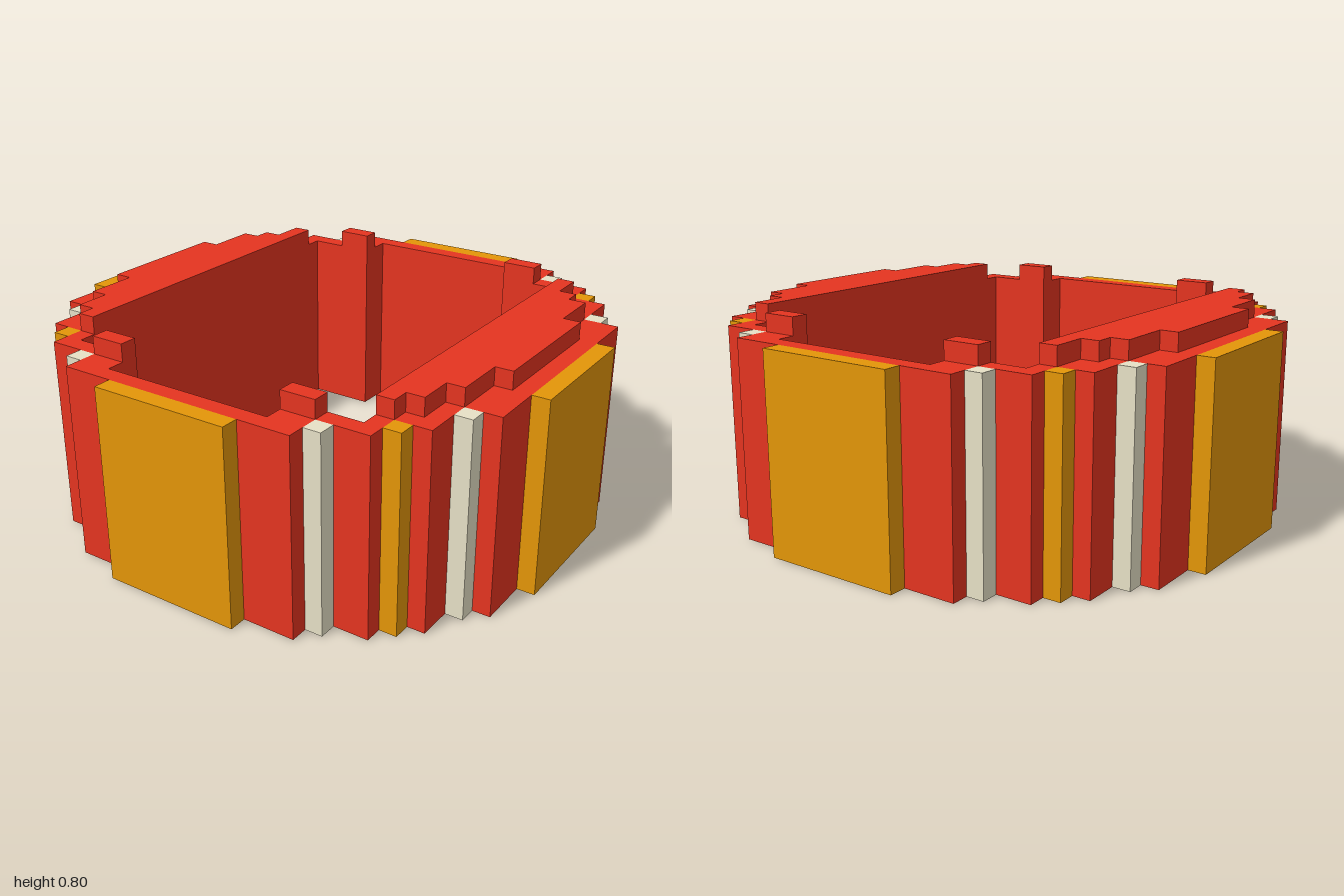
import * as THREE from 'three';

const U = 1 / 15; // one grid cell
const BODY_H = 11;

const red = new THREE.MeshStandardMaterial({ color: 0xe53420 });
red.name = 'red';
const gold = new THREE.MeshStandardMaterial({ color: 0xe49608 });
gold.name = 'gold';
const ivory = new THREE.MeshStandardMaterial({ color: 0xe7e1c6 });
ivory.name = 'ivory';

// Turns [x, z] grid points into plan-view points (shape y is -z)
const plan = (pts) => pts.map(([x, z]) => new THREE.Vector2(x * U, -z * U));

// Mirrors one quarter outline into a closed loop
function fourfold(q) {
  const r = [...q].reverse();
  return [
    ...q,
    ...r.map(([x, z]) => [-x, z]),
    ...q.map(([x, z]) => [-x, -z]),
    ...r.map(([x, z]) => [x, -z]),
  ];
}

// Upright prism from a plan outline; a hole winds opposite to the outline
function prism(name, outline, y, height, material, hole) {
  const shape = new THREE.Shape(plan(outline));
  if (hole) shape.holes.push(new THREE.Path(plan(hole).reverse()));
  const geo = new THREE.ExtrudeGeometry(shape, { depth: height * U, bevelEnabled: false });
  geo.rotateX(-Math.PI / 2);
  geo.translate(0, y * U, 0);
  const mesh = new THREE.Mesh(geo, material);
  mesh.name = name;
  return mesh;
}

// Box spanning grid ranges in x and z
function block(name, x0, x1, z0, z1, y, height, material) {
  const geo = new THREE.BoxGeometry((x1 - x0) * U, height * U, (z1 - z0) * U);
  const mesh = new THREE.Mesh(geo, material);
  mesh.position.set(((x0 + x1) / 2) * U, (y + height / 2) * U, ((z0 + z1) / 2) * U);
  mesh.name = name;
  return mesh;
}

export function createModel() {
  const model = new THREE.Group();
  model.name = 'steppedRing';

  // Stepped red wall around an open centre
  const outer = fourfold([[14, 7], [12, 7], [12, 10], [10, 10], [10, 12], [7, 12], [7, 14]]);
  const inner = fourfold([[9, 11], [5, 11], [5, 13]]);
  model.add(prism('ringWall', outer, 0, BODY_H, red, inner));

  for (const s of [1, -1]) {
    const side = s > 0 ? 'left' : 'right';

    // Raised rim on each side
    const rim = [
      [9, -10], [10, -10], [10, -8], [11, -8], [11, -7], [12, -7], [12, -4], [13, -4],
      [13, 4], [12, 4], [12, 7], [11, 7], [11, 9], [10, 9], [10, 10], [9, 10],
    ].map(([x, z]) => [s * x, z]);
    model.add(prism(`${side}Rim`, rim, BODY_H, 1, red));

    // Broad gold panels on the four sides
    model.add(block(`${side}Panel`, s * 14.5 - 0.5, s * 14.5 + 0.5, -4, 4, 0, BODY_H, gold));
    model.add(block(s > 0 ? 'frontPanel' : 'backPanel', -4, 4, s * 14.5 - 0.5, s * 14.5 + 0.5, 0, BODY_H, gold));

    // Corner strips and raised tabs
    for (const t of [1, -1]) {
      const corner = side + (t > 0 ? 'Front' : 'Back');
      const strip = (name, cx, cz, mat) => model.add(
        block(corner + name, s * cx - 0.5, s * cx + 0.5, t * cz - 0.5, t * cz + 0.5, 0, BODY_H, mat));
      strip('OuterStrip', 12.5, 7.5, ivory);
      strip('CornerStrip', 10.5, 10.5, gold);
      strip('InnerStrip', 7.5, 12.5, ivory);
      model.add(block(corner + 'Tab', s * 6 - 1, s * 6 + 1, t * 11.5 - 0.5, t * 11.5 + 0.5, BODY_H, 1, red));
    }
  }
  return model;
}
